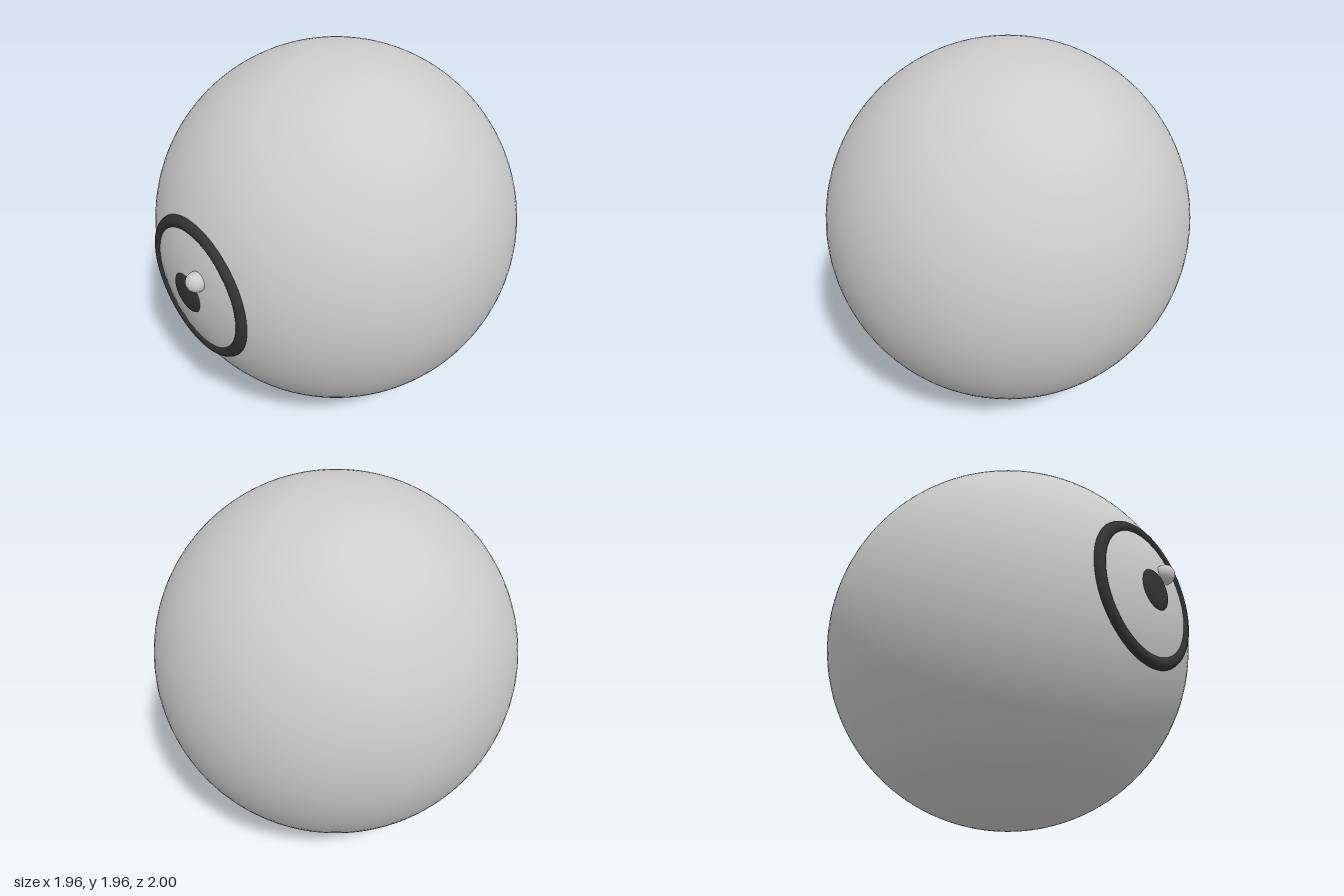
import * as THREE from 'three';

export function createModel() {
  const group = new THREE.Group();
  const grey = new THREE.MeshStandardMaterial({ color: 0xcccccc });
  const dark = new THREE.MeshStandardMaterial({ color: 0x333333 });

  function add(name, geometry, material, x, y, z) {
    const mesh = new THREE.Mesh(geometry, material);
    mesh.name = name;
    mesh.position.set(x, y, z);
    group.add(mesh);
    return mesh;
  }

  const radius = 0.978;

  // Eyeball, poles along y
  add('eyeball', new THREE.SphereGeometry(radius, 96, 64), grey, 0, radius, -0.022);

  // Dark ring around the iris, half sunk into the ball
  add('irisRing', new THREE.TorusGeometry(0.342, 0.034, 20, 96), dark, 0, radius, 0.878);

  // Pupil: a flattened ball bulging slightly from the front
  const pupil = add('pupil', new THREE.SphereGeometry(0.104, 48, 24), dark, 0, radius, 0.948);
  pupil.scale.z = 0.19;

  // Small glint bead at the upper left of the pupil
  add('glint', new THREE.SphereGeometry(0.05, 32, 20), grey, 0.098, 1.1, 0.95);

  return group;
}
